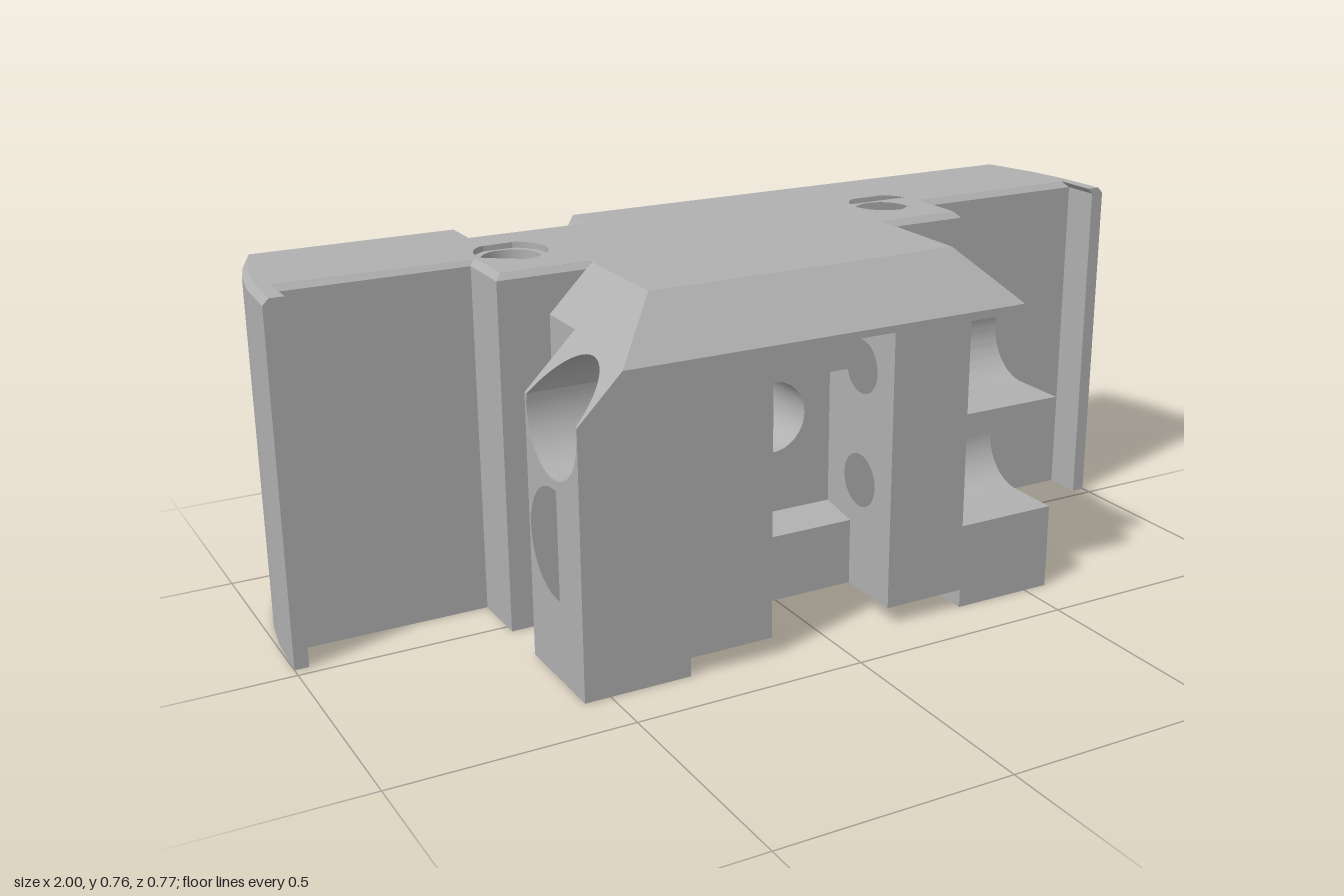
import * as THREE from 'three';
import { toCreasedNormals } from 'three/addons/utils/BufferGeometryUtils.js';

const grey = new THREE.MeshStandardMaterial({ color: 0xb0b0b0 });
grey.name = 'grey';

const TOP = 0.765, RIM = 0.752, HOLE_Y = 0.412;

// Points along an arc, angles in degrees
function arc(cx, cy, r, a0, a1, n = 24) {
  return Array.from({ length: n + 1 }, (_, i) => {
    const a = THREE.MathUtils.degToRad(a0 + ((a1 - a0) * i) / n);
    return [cx + r * Math.cos(a), cy + r * Math.sin(a)];
  });
}
const circle = (cx, cy, r) => arc(cx, cy, r, 0, 348.75, 31);
const box = (x0, y0, x1, y1) => [[x0, y0], [x1, y0], [x1, y1], [x0, y1]];

export function createModel() {
  const model = new THREE.Group();
  model.name = 'mountingBlock';

  // Extrude an outline along an axis from a to b.
  // Outline pairs are (x,y) for z, (x,z) for y and (z,y) for x.
  function part(name, axis, a, b, outline, holes = [], rule = null) {
    const map = ([u, v]) =>
      new THREE.Vector2(axis === 'x' ? -u : u, axis === 'y' ? -v : v);
    const shape = new THREE.Shape(outline.map(map));
    shape.holes = holes.map((h) => new THREE.Path(h.map(map)));
    let geo = new THREE.ExtrudeGeometry(shape, { depth: b - a, bevelEnabled: false });
    geo.translate(0, 0, a);
    if (axis === 'y') geo.rotateX(-Math.PI / 2);
    if (axis === 'x') geo.rotateY(Math.PI / 2);
    if (rule) {
      const p = geo.attributes.position, v = new THREE.Vector3();
      for (let i = 0; i < p.count; i++) {
        rule(v.fromBufferAttribute(p, i));
        p.setXYZ(i, v.x, v.y, v.z);
      }
    }
    geo = toCreasedNormals(geo, 0.5);
    const mesh = new THREE.Mesh(geo, grey);
    mesh.name = name;
    model.add(mesh);
  }

  // Rear skin, cut by the diagonal cable channel
  const bossX = -0.645;
  const wide = [[0.93, 0], [0.93, TOP], [-0.21, TOP], [-0.42, 0.4], [-0.425, 0.34],
    [-0.45, 0.28], [-0.52, 0.22], [-0.65, 0]];
  const narrow = [[-0.93, 0], [-0.93, TOP], [-0.49, TOP], [-0.6, 0.59],
    ...arc(bossX, HOLE_Y, 0.19, 76, 227)];
  const rearChamfer = (v) => { if (v.z < -0.38 && v.y > 0.76) v.y = RIM; };
  for (const [z0, z1, r] of [[-0.385, -0.372, 0.1], [-0.372, -0.285, 0.08]]) {
    part('rearSkin', 'z', z0, z1, wide,
      [circle(0, HOLE_Y, 0.078), circle(0.65, HOLE_Y, r)], rearChamfer);
    part('rearSkinCorner', 'z', z0, z1, narrow, [], rearChamfer);
  }
  part('channelBoss', 'z', -0.385, -0.285, circle(bossX, HOLE_Y, 0.14),
    [circle(bossX, HOLE_Y, 0.078)]);

  // Layer behind the skin, forming the channel floor
  part('channelFloor', 'z', -0.285, -0.21,
    [[-0.93, 0.06], [-0.35, 0.06], [-0.35, 0], [0.35, 0], [0.35, 0.06], [0.93, 0.06],
      [0.93, TOP], [-0.93, TOP]],
    [0, 0.65, bossX].map((x) => circle(x, HOLE_Y, 0.078)));

  // Core with the through bore
  part('core', 'z', -0.21, 0.025, box(-0.35, 0, 0.35, TOP), [circle(0, HOLE_Y, 0.078)]);

  // Side wings with curved ends, vertical bolt holes and square bottom pockets
  const ends = [[0.93, -0.385], [0.957, -0.32], [0.98, -0.24], [0.994, -0.15], [1, -0.025],
    [0.97, -0.025], [0.97, -0.11], [0.555, -0.11], [0.555, 0.025], [0.35, 0.025]];
  const topChamfer = (v) => {
    if (v.y < 0.76) return;
    const s = Math.sign(v.x), ax = Math.abs(v.x);
    if (ax > 0.95 || Math.abs(ax - 0.555) < 1e-4) v.x -= s * 0.013;
    if (v.z < -0.38) v.z += 0.013;
    if (Math.abs(v.z + 0.11) < 1e-4 || Math.abs(v.z - 0.025) < 1e-4) v.z -= 0.013;
  };
  for (const s of [1, -1]) {
    const flip = (pts) => pts.map(([x, z]) => [s * x, z]);
    const wing = flip([...ends, [0.35, -0.21], [0.93, -0.21]]);
    const foot = flip([...ends, [0.35, -0.285], [0.93, -0.285]]);
    const bolt = (r) => circle(s * 0.455, -0.14, r);
    const pockets = [0.69, 0.885].map((x) => flip(box(x - 0.05, -0.25, x + 0.05, -0.17)));
    part('wingFoot', 'y', 0, 0.06, foot, [bolt(0.062), ...pockets]);
    part('wing', 'y', 0.06, RIM, wing, [bolt(0.062)]);
    part('wingRim', 'y', RIM, TOP, wing, [bolt(0.077)], topChamfer);
  }

  // Narrow neck, hollowed underneath
  part('neck', 'z', 0.025, 0.145,
    [[-0.445, 0], [-0.33, 0], [-0.33, 0.04], [0.33, 0.04], [0.33, 0], [0.445, 0],
      [0.445, 0.67], [0.35, TOP], [-0.35, TOP], [-0.445, 0.67]],
    [circle(0, HOLE_Y, 0.078)]);

  // Front head: inner cheeks beside the central slot
  const Z = 0.267, LOW = 0.287, HIGH = 0.537, SPLIT = 0.56;
  const crown = [[0.385, 0.655], [0.275, TOP], [0.145, TOP]];
  const cheek = [[0.145, 0.04], [0.385, 0.04], ...crown];
  const bores = (r) => [circle(Z, LOW, r), circle(Z, HIGH, r)];
  part('cheek', 'x', 0.14, 0.28, cheek, bores(0.058));
  part('cheekCounterbore', 'x', 0.28, 0.325, cheek, bores(0.086));
  part('cheek', 'x', -0.28, -0.14, cheek, bores(0.058));
  part('cheekMembrane', 'x', -0.325, -0.28, cheek, [circle(Z, LOW, 0.058)]);

  // Outer lugs, their upper faces leaning in at 45 degrees
  const lean = (v) => {
    if (Math.abs(v.x) > 0.5) v.x = Math.sign(v.x) * Math.min(0.555, 1.115 - v.y);
  };
  // Left lug with two pockets open to the front
  part('leftLug', 'x', 0.325, 0.555,
    [[0.145, 0], [0.385, 0], [0.385, 0.187], ...arc(Z, LOW, 0.1, -90, -270),
      [0.385, 0.387], [0.385, 0.437], ...arc(Z, HIGH, 0.1, -90, -193.3),
      [0.145, SPLIT]], [], lean);
  part('leftLugTop', 'x', 0.325, 0.555,
    [[0.145, SPLIT], ...arc(Z, HIGH, 0.1, 166.7, 90), [0.385, 0.637], ...crown], [], lean);
  // Right lug with two round counterbores
  part('rightLug', 'x', -0.555, -0.325,
    [[0.145, 0], [0.385, 0], [0.385, SPLIT], ...arc(Z, HIGH, 0.115, 11.54, -191.54),
      [0.145, SPLIT]], [circle(Z, LOW, 0.115)], lean);
  part('rightLugTop', 'x', -0.555, -0.325,
    [[0.145, SPLIT], ...arc(Z, HIGH, 0.115, 168.46, 11.54), [0.385, SPLIT], ...crown],
    [], lean);

  // Roof and ledges of the central slot
  part('slotRoof', 'x', -0.14, 0.14,
    [[0.145, 0.515], [0.235, 0.525], [0.235, 0.64], [0.385, 0.64], ...crown]);
  part('slotLedge', 'x', -0.14, 0.14,
    [[0.145, 0.04], [0.235, 0.04], [0.235, 0.185], [0.145, 0.2]]);

  return model;
}
